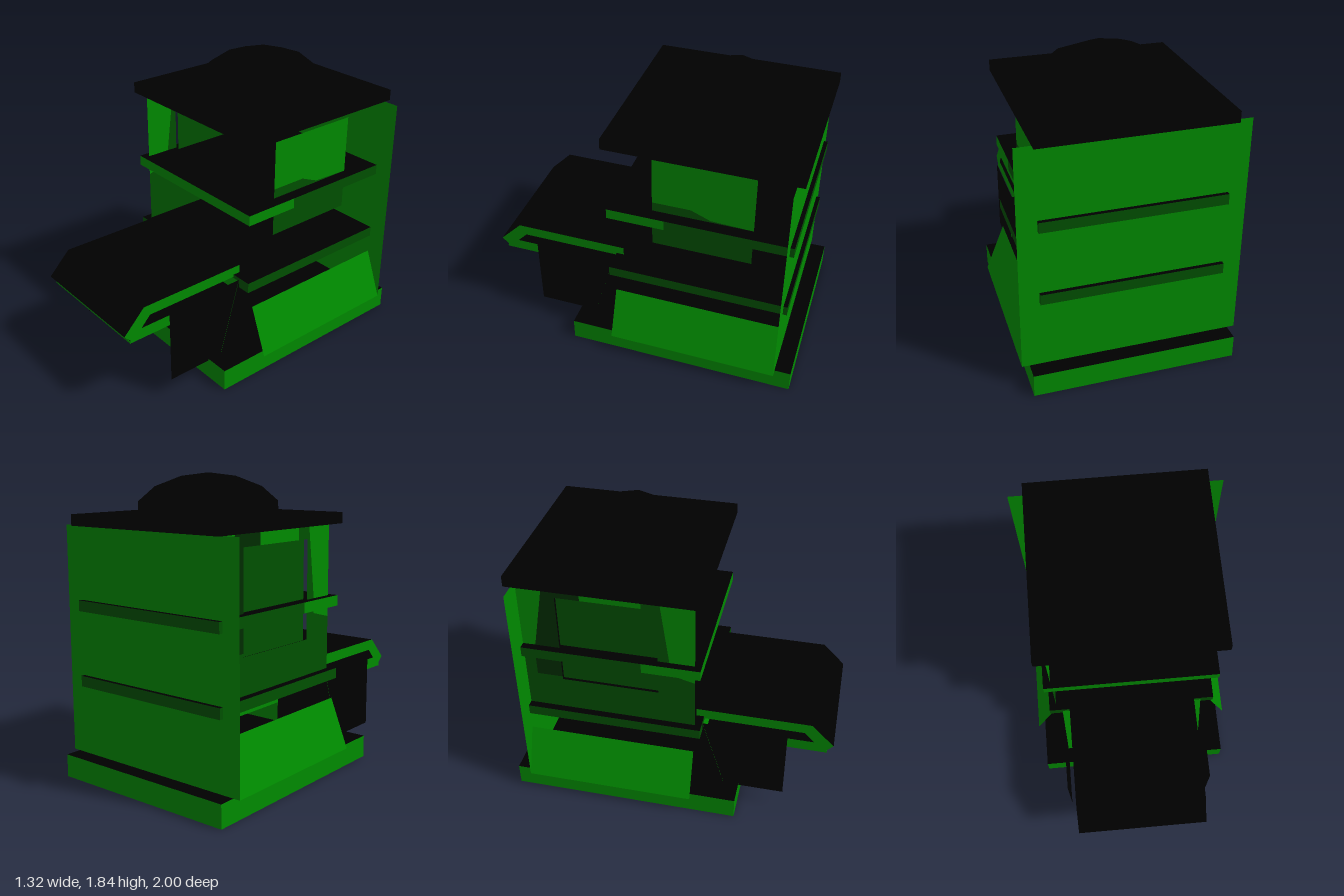
import * as THREE from 'three';

export function createModel() {
  const model = new THREE.Group();
  model.name = 'cabinet';
  const paint = (name, color) => {
    const m = new THREE.MeshStandardMaterial({ color, side: THREE.DoubleSide });
    m.name = name;
    return m;
  };
  const green = paint('green', 0x008a00);
  const darkGreen = paint('darkGreen', 0x005000);
  const deepGreen = paint('deepGreen', 0x002c00);
  const black = paint('black', 0x000000);
  // box faces: one colour around the sides, black above and below
  const banded = (m) => [m, m, black, black, m, m];

  function add(name, geometry, material) {
    const mesh = new THREE.Mesh(geometry, material);
    mesh.name = name;
    model.add(mesh);
  }
  // box from its limits on each axis
  function box(name, [x0, x1], [y0, y1], [z0, z1], material) {
    const g = new THREE.BoxGeometry(x1 - x0, y1 - y0, z1 - z0);
    g.translate((x0 + x1) / 2, (y0 + y1) / 2, (z0 + z1) / 2);
    add(name, g, material);
  }
  // flat sheet from four corners in loop order
  function sheet(name, corners, material) {
    const g = new THREE.BufferGeometry();
    g.setAttribute('position', new THREE.Float32BufferAttribute(corners.flat(), 3));
    g.setIndex([0, 1, 2, 0, 2, 3]);
    g.computeVertexNormals();
    add(name, g, material);
  }
  // outline in (z, y), used for upright side pieces
  const outline = (points) => new THREE.Shape(points.map(([z, y]) => new THREE.Vector2(z, y)));
  function sidePiece(name, x, points, material) {
    const g = new THREE.ShapeGeometry(outline(points));
    g.rotateY(-Math.PI / 2).translate(x, 0, 0);
    add(name, g, material);
  }

  // plinth, shelves and roof
  const shelfX = [-0.545, 0.545];
  box('base', [-0.615, 0.615], [0, 0.14], [-1, 0.435], banded(green));
  box('lowerShelf', shelfX, [0.565, 0.63], [-0.925, 0.195], banded(darkGreen));
  box('upperShelfFront', shelfX, [1.025, 1.09], [-0.16, 0.195], banded(green));
  box('upperShelfRear', shelfX, [1.025, 1.09], [-0.925, -0.16], banded(darkGreen));
  box('roof', [-0.563, 0.563], [1.53, 1.597], [-0.945, 0.205], black);

  // back wall
  sheet('backWall', [
    [0.66, 0.14, -0.9], [-0.66, 0.14, -0.9], [-0.66, 1.53, -0.9], [0.66, 1.53, -0.9],
  ], green);

  // inner plates either side of the shelves
  sidePiece('leftPlateUpper', 0.47, [
    [-0.065, 1.15], [-0.3, 1.15], [-0.42, 1.1], [-0.675, 1.09], [-0.675, 1.455], [-0.065, 1.455],
  ], green);
  sidePiece('leftPlateLower', 0.47, [
    [-0.065, 1.15], [-0.3, 1.15], [-0.42, 1.1], [-0.675, 1.09], [-0.675, 0.84], [-0.065, 0.84],
  ], darkGreen);
  sidePiece('rightPlate', -0.47, [
    [-0.065, 0.84], [-0.675, 0.84], [-0.675, 1.455], [-0.065, 1.455],
  ], darkGreen);

  // right side panel in coloured pieces around an opening
  sidePiece('sidePanelFront', -0.5, [
    [0.155, 1.53], [0.155, 0.96], [0, 1], [0, 1.1], [-0.055, 1.53],
  ], green);
  sidePiece('sidePanelFrontEdge', -0.5, [
    [-0.055, 1.53], [0, 1.1], [0, 1], [-0.07, 1], [-0.07, 1.45], [-0.16, 1.45], [-0.16, 1.53],
  ], darkGreen);
  sidePiece('sidePanelTop', -0.5, [
    [-0.16, 1.45], [-0.52, 1.45], [-0.52, 1.53], [-0.16, 1.53],
  ], green);
  sidePiece('sidePanelRearEdge', -0.5, [
    [-0.52, 1.53], [-0.52, 1.45], [-0.67, 1.45], [-0.67, 0.87],
    [-0.83, 0.87], [-0.83, 0.97], [-0.82, 1.1], [-0.74, 1.53],
  ], deepGreen);
  sidePiece('sidePanelRear', -0.5, [
    [-0.74, 1.53], [-0.82, 1.1], [-0.9, 1.05], [-0.9, 1.53],
  ], green);
  sidePiece('sidePanelLower', -0.5, [
    [0.155, 0.96], [0, 1], [-0.07, 1], [-0.07, 0.85], [-0.67, 0.85], [-0.67, 0.87], [-0.83, 0.87],
    [-0.83, 0.97], [-0.82, 1.1], [-0.9, 1.05], [-0.9, 0.6], [0.155, 0.6],
  ], darkGreen);

  // sloped skirts and black cheek plates on both sides
  for (const s of [1, -1]) {
    const c = [
      [s * 0.66, 0.14, 0.155], [s * 0.66, 0.14, -0.9],
      [s * 0.54, 0.445, -0.9], [s * 0.54, 0.445, 0.155],
    ];
    sheet('sideSkirt', s > 0 ? c : c.reverse(), green);
    sidePiece('cheekPlate', s * 0.46, [
      [0.72, 0.128], [-0.3, 0.128], [-0.3, 0.617], [0.72, 0.617],
    ], black);
  }

  // sloped front skirt between the cheeks
  sheet('frontSkirt', [
    [-0.462, 0.142, 0.335], [0.462, 0.142, 0.335], [0.462, 0.61, 0.198], [-0.462, 0.61, 0.198],
  ], green);

  // folded tray: long lower board, turned nose, short upper board
  const tray = outline([
    [-0.895, 0.48], [0.96, 0.48], [0.96, 0.5], [1, 0.54], [0.86, 0.682], [0.147, 0.682],
    [0.147, 0.615], [0.82, 0.615], [0.882, 0.55], [-0.895, 0.55],
  ]);
  const trayGeometry = new THREE.ExtrudeGeometry(tray, { depth: 0.82, bevelEnabled: false });
  trayGeometry.translate(0, 0, -0.41).rotateY(-Math.PI / 2);
  add('tray', trayGeometry, [green, black]);
  box('trayLip', [-0.41, 0.41], [0.478, 0.492], [0.957, 0.963], green);

  // low dome on the roof
  const dome = new THREE.LatheGeometry([
    [0.417, 1.597], [0.412, 1.67], [0.315, 1.755], [0.16, 1.815], [0, 1.835],
  ].map(([r, y]) => new THREE.Vector2(r, y)), 8);
  dome.translate(0, 0, -0.375);
  add('dome', dome, black);

  return model;
}
